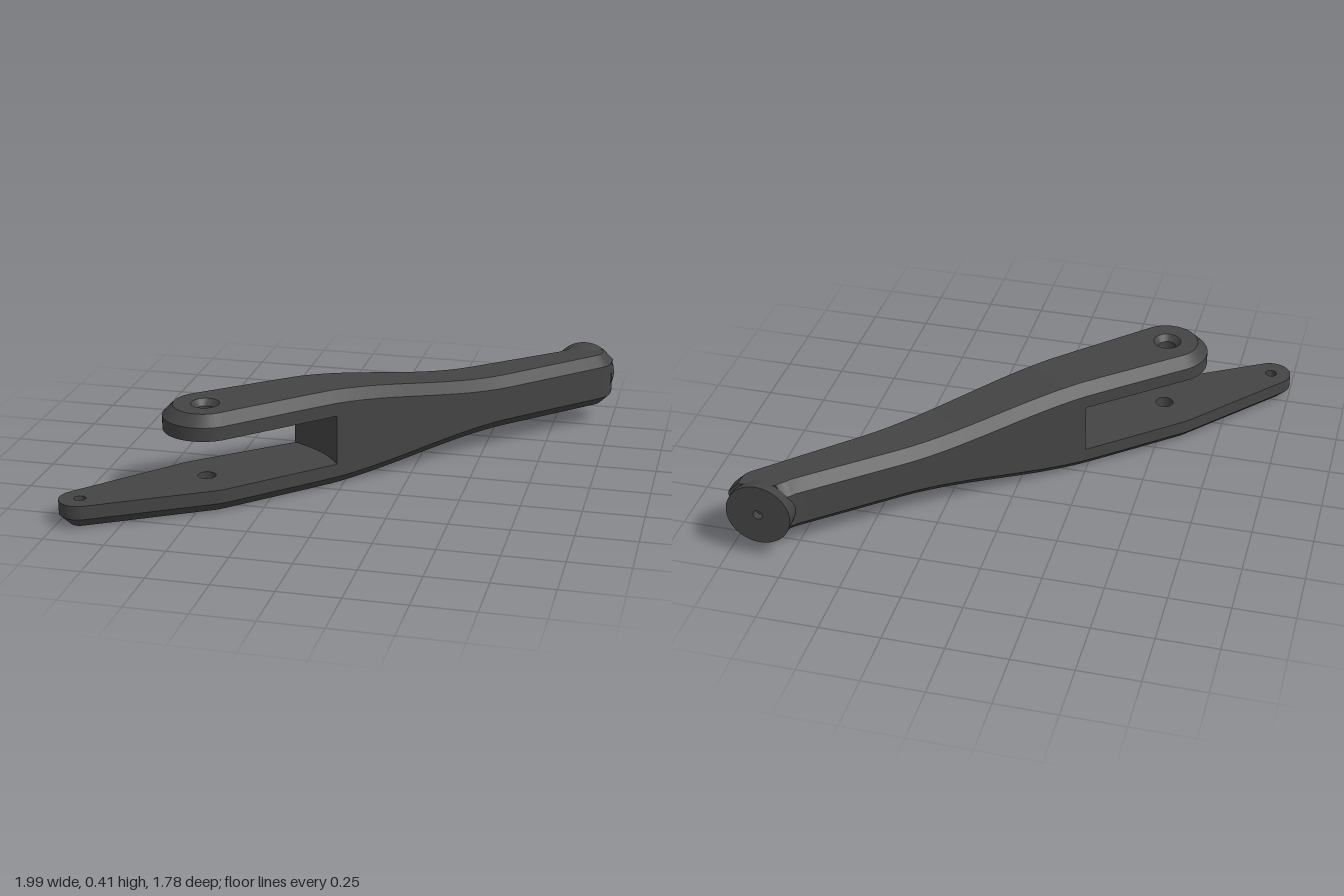
import * as THREE from 'three';
import { toCreasedNormals } from 'three/addons/utils/BufferGeometryUtils.js';

const MID = 0.205;            // height of the symmetry plane
const SLOT = 0.105;           // half height of the fork slot
const CHAMFER = 0.043;
const PIVOT = [-0.5, 0.458], PIVOT_R = 0.173;
const TIP = [-0.915, 0.805], TIP_R = 0.085;
const BACK = [[-0.613, 0.327], [0.73, -0.815]];   // straight edges in plan (x, z)
const FRONT = [[-0.378, 0.58], [0.955, -0.735]];
const T0 = 0.272;             // where the slot ends

const mix = (e, t) => [0, 1].map(i => e[0][i] + (e[1][i] - e[0][i]) * t);

// Half thickness of the arm along its length
const halfHeight = t => 0.205 - 0.09 * THREE.MathUtils.smoothstep(t, 0.24, 0.74);

// Arc in plan, angles counterclockwise seen from above
function arc([cx, cz], r, a0, a1, n) {
  return Array.from({ length: n + 1 }, (_, i) => {
    const a = a0 + (a1 - a0) * i / n;
    return [cx + r * Math.cos(a), cz - r * Math.sin(a)];
  });
}

// Collects quads and flat caps; sign -1 mirrors them below the middle plane
function builder(sign) {
  const pos = [];
  const put = p => pos.push(p[0], MID + sign * p[1], p[2]);
  const tri = (a, b, c) => (sign > 0 ? [a, b, c] : [a, c, b]).forEach(put);
  return {
    tri,
    quad(a, b, c, d) { tri(a, b, c); tri(a, c, d); },
    cap(outline, holes, y, up) {
      const v = list => list.map(p => new THREE.Vector2(p[0], -p[1]));
      const contour = v(outline), inner = holes.map(h => v(h).reverse());
      const all = [contour, ...inner].flat();
      for (const f of THREE.ShapeUtils.triangulateShape(contour, inner)) {
        const [a, b, c] = f.map(i => [all[i].x, y, -all[i].y]);
        up ? tri(a, b, c) : tri(a, c, b);
      }
    },
    mesh(name, material) {
      const g = new THREE.BufferGeometry();
      g.setAttribute('position', new THREE.Float32BufferAttribute(pos, 3));
      const m = new THREE.Mesh(toCreasedNormals(g, 0.5), material);
      m.name = name;
      return m;
    }
  };
}

// One half of the arm: chamfered rim, outer face, fork plate and its holes
function armHalf(name, sign, tip, holes, material) {
  const b = builder(sign);
  const ts = [0, 0.2, T0, T0];
  for (let i = 1; i <= 20; i++) ts.push(T0 + (1 - T0) * i / 20);
  const back = ts.map(t => mix(BACK, t)), front = ts.map(t => mix(FRONT, t));
  // rounded corner at the mounting end
  back.push([0.735, -0.825], [0.74, -0.83], [0.75, -0.84], [0.755, -0.845], [0.76, -0.855]);
  front.push([0.97, -0.752], [0.981, -0.772], [0.988, -0.795], [0.99, -0.82], [0.99, -0.86]);
  const n = back.length, m = tip.length;
  const pts = [...back.slice().reverse(), ...tip, ...front], N = pts.length;
  const station = i => i < n ? n - 1 - i : i < n + m ? 0 : i - n - m;

  const inset = pts.map((p, i) => {
    const a = pts[Math.max(i - 1, 0)], c = pts[Math.min(i + 1, N - 1)];
    const dx = c[0] - a[0], dz = c[1] - a[1], l = Math.hypot(dx, dz) || 1;
    return [p[0] + dz / l * CHAMFER, p[1] - dx / l * CHAMFER];
  });
  const top = i => halfHeight(ts[station(i)] ?? 1);
  const low = pts.map((p, i) => [p[0], station(i) <= 2 ? SLOT : 0, p[1]]);
  const rim = pts.map((p, i) => [p[0], top(i) - CHAMFER, p[1]]);
  const face = inset.map((p, i) => [p[0], top(i), p[1]]);

  for (let i = 0; i < N - 1; i++) {
    b.quad(low[i], low[i + 1], rim[i + 1], rim[i]);
    b.quad(rim[i], rim[i + 1], face[i + 1], face[i]);
  }
  for (let k = 1; k < n - 1; k++) {
    const B = n - 1 - k, F = n + m + k;
    b.quad(face[B], face[F], face[F + 1], face[B - 1]);
  }
  // closed end at the mount
  const end = [low[N - 1], low[0], rim[0], face[0], face[N - 1], rim[N - 1]];
  for (let i = 1; i < 5; i++) b.tri(end[0], end[i], end[i + 1]);

  // fork faces with their holes
  const ring = (h, r) => arc(h.at, r, 0, Math.PI * 2, 28).slice(0, -1);
  b.cap(inset.slice(n - 2, n + m + 2), holes.map(h => ring(h, h.outer)), 0.205, true);
  b.cap([...back.slice(0, 6).reverse(), ...tip, ...front.slice(0, 6)],
    holes.map(h => ring(h, h.r)), SLOT, false);
  for (const h of holes) {
    const rows = [[h.outer, 0.205], [h.r, 0.18], [h.r, SLOT]]
      .map(([r, y]) => ring(h, r).map(p => [p[0], y, p[1]]));
    for (let j = 0; j < 2; j++) for (let i = 0; i < 28; i++) {
      const k = (i + 1) % 28;
      b.quad(rows[j + 1][k], rows[j + 1][i], rows[j][i], rows[j][k]);
    }
  }
  return b.mesh(name, material);
}

export function createModel() {
  const group = new THREE.Group();
  group.name = 'forkedArm';
  const material = new THREE.MeshStandardMaterial({ color: 0x444444 });

  const a0 = Math.atan2(0.131, -0.113) - 2 * Math.PI;   // back edge normal
  const a1 = Math.atan2(-0.122, 0.122);                 // front edge normal
  const pivotHole = { at: PIVOT, r: 0.037, outer: 0.058 };
  const tipHole = { at: TIP, r: 0.024, outer: 0.024 };

  // Upper fork ends round the pivot
  group.add(armHalf('upperArm', 1, arc(PIVOT, PIVOT_R, a0, a1, 32).slice(1, -1), [pivotHole], material));

  // Lower fork reaches on to a smaller rounded tip
  const dx = TIP[0] - PIVOT[0], dz = TIP[1] - PIVOT[1];
  const phi = Math.atan2(-dz, dx), off = Math.acos((PIVOT_R - TIP_R) / Math.hypot(dx, dz));
  const longTip = [
    ...arc(PIVOT, PIVOT_R, a0, phi - off, 3).slice(1),
    ...arc(TIP, TIP_R, phi - off, phi + off, 24),
    ...arc(PIVOT, PIVOT_R, phi + off, a1, 3).slice(0, -1)
  ];
  group.add(armHalf('lowerArm', -1, longTip, [pivotHole, tipHole], material));

  // Hollow curved wall at the end of the slot
  const w = builder(1), B = mix(BACK, T0), F = mix(FRONT, T0);
  const wall = Array.from({ length: 13 }, (_, i) => {
    const p = mix([B, F], i / 12), s = 0.025 * Math.sin(Math.PI * i / 12);
    return [p[0] + s * 0.73, p[1] - s * 0.68];
  });
  for (let i = 0; i < 12; i++) {
    const [p, q] = [wall[i], wall[i + 1]];
    w.quad([p[0], -SLOT, p[1]], [q[0], -SLOT, q[1]], [q[0], SLOT, q[1]], [p[0], SLOT, p[1]]);
  }
  group.add(w.mesh('slotWall', material));

  // Round mounting pad with a blind hole, flattened where it meets the arm
  const profile = [[0, 0], [0.131, 0], [0.133, 0.05], [0.133, 0.075], [0.02, 0.075], [0.02, 0.035], [0, 0.035]];
  const pad = new THREE.LatheGeometry(profile.map(p => new THREE.Vector2(...p)), 48);
  pad.rotateX(-Math.PI / 2);
  const pp = pad.attributes.position;
  for (let i = 0; i < pp.count; i++) if (pp.getZ(i) > -0.01) pp.setY(i, pp.getY(i) * 0.87);
  const padMesh = new THREE.Mesh(toCreasedNormals(pad, 0.6), material);
  padMesh.name = 'mountingPad';
  padMesh.position.set(0.862, MID, -0.815);
  group.add(padMesh);
  return group;
}
